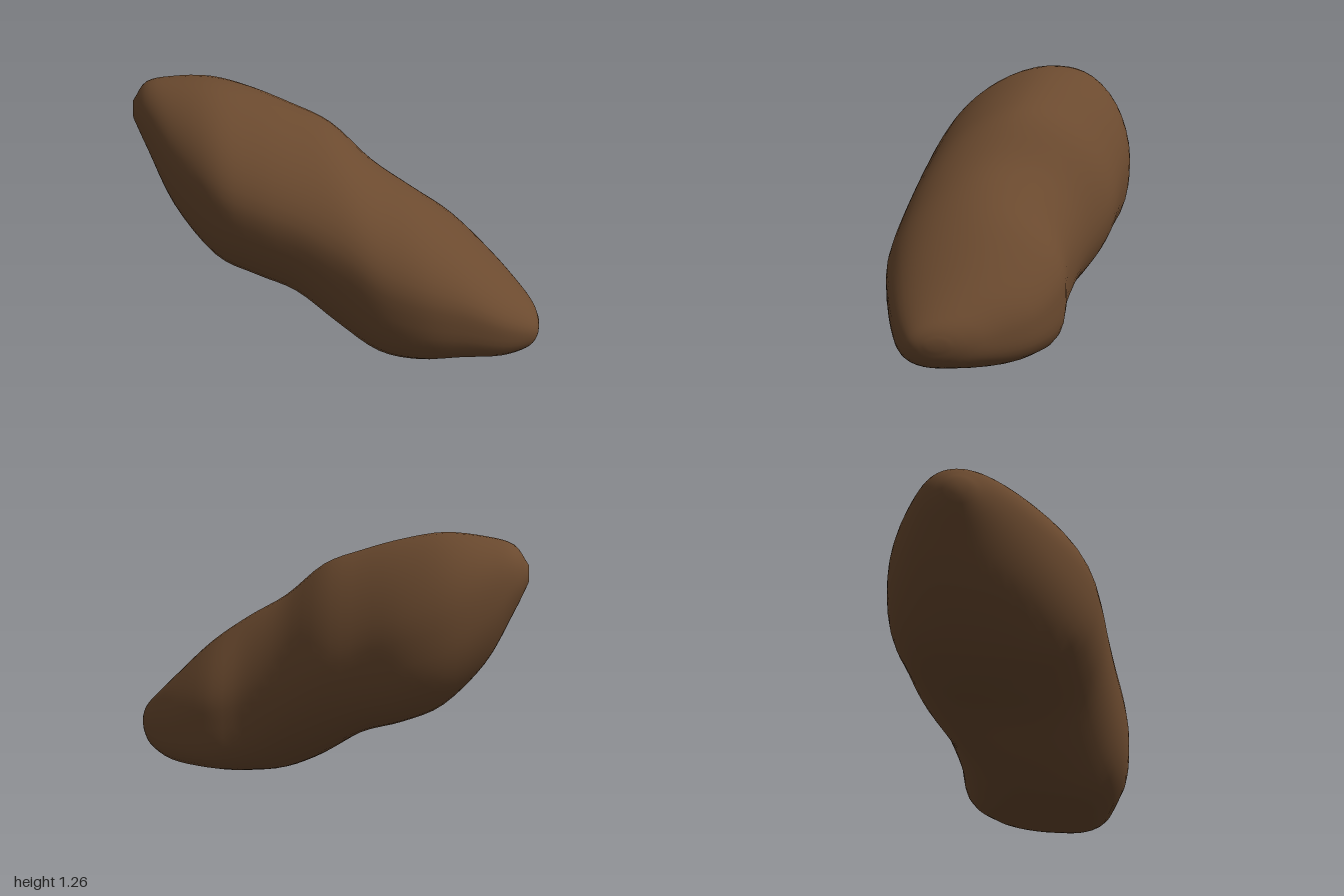
import * as THREE from 'three';

// Stations along x: [x, bottom y, top y, back z, front z,
//   fullness of upper front, upper back, lower back, lower front]
const STATIONS = [
  [-1.0, 1.03, 1.12, -0.40, -0.30, 2, 2, 2, 2],
  [-0.93, 0.88, 1.215, -0.51, -0.14, 1.9, 2.2, 2, 2.1],
  [-0.8, 0.63, 1.25, -0.59, 0.09, 1.8, 2.3, 2.2, 2.4],
  [-0.6, 0.42, 1.265, -0.655, 0.31, 1.75, 2.1, 2.5, 2.6],
  [-0.4, 0.33, 1.23, -0.65, 0.40, 1.7, 1.85, 2.7, 2.5],
  [-0.2, 0.26, 1.17, -0.58, 0.46, 1.7, 1.75, 2.5, 2.5],
  [0.0, 0.12, 1.09, -0.50, 0.53, 1.75, 1.75, 1.9, 2.7],
  [0.2, 0.02, 0.92, -0.345, 0.61, 1.8, 2, 1.9, 3],
  [0.4, 0.005, 0.80, -0.245, 0.65, 1.8, 1.9, 2.9, 3.2],
  [0.6, 0.03, 0.66, -0.19, 0.645, 1.85, 1.85, 4.5, 3.5],
  [0.8, 0.04, 0.47, -0.04, 0.62, 1.9, 1.9, 3.5, 3.3],
  [0.93, 0.075, 0.34, 0.17, 0.58, 2, 2, 2.6, 2.6],
  [0.98, 0.12, 0.28, 0.29, 0.54, 2, 2, 2, 2],
  [1.0, 0.18, 0.23, 0.38, 0.47, 2, 2, 2, 2],
];
const RINGS = 52;
const SIDES = 48;

// Smooth curve through three neighbouring columns of the station list
const columns = (a) => new THREE.CatmullRomCurve3(
  STATIONS.map((s) => new THREE.Vector3(s[a], s[a + 1], s[a + 2])), false, 'catmullrom', 0.5);

// Lumpy body: superelliptic cross-sections joined from end to end
function bodyGeometry() {
  const heights = columns(0);
  const depths = columns(3);
  const fullness = columns(6);
  const positions = [];
  const indices = [];
  for (let i = 0; i <= RINGS; i++) {
    const { x, y: low, z: high } = heights.getPoint(i / RINGS);
    const { x: back, y: front, z: upperFront } = depths.getPoint(i / RINGS);
    const { x: upperBack, y: lowerBack, z: lowerFront } = fullness.getPoint(i / RINGS);
    const halfY = (high - low) / 2;
    const halfZ = (front - back) / 2;
    for (let j = 0; j < SIDES; j++) {
      const angle = (j / SIDES) * Math.PI * 2;
      const c = Math.cos(angle);
      const s = Math.sin(angle);
      const n = s > 0 ? (c > 0 ? upperFront : upperBack) : (c > 0 ? lowerFront : lowerBack);
      const r = (Math.abs(c) ** n + Math.abs(s) ** n) ** (-1 / n);
      // The crest leans slightly towards the back
      const lean = 0.06 * halfZ * Math.max(0, r * s) ** 2;
      positions.push(x, low + halfY * (1 + r * s), back + halfZ * (1 + r * c) - lean);
    }
  }
  for (let i = 0; i < RINGS; i++) {
    for (let j = 0; j < SIDES; j++) {
      const k = (j + 1) % SIDES;
      const a = i * SIDES + j, b = i * SIDES + k;
      const d = a + SIDES, e = b + SIDES;
      indices.push(a, d, b, b, d, e);
    }
  }
  // Close both blunt tips
  for (const end of [0, RINGS]) {
    const s = STATIONS[end === 0 ? 0 : STATIONS.length - 1];
    const pole = positions.length / 3;
    positions.push(s[0], (s[1] + s[2]) / 2, (s[3] + s[4]) / 2);
    for (let j = 0; j < SIDES; j++) {
      const a = end * SIDES + j;
      const b = end * SIDES + ((j + 1) % SIDES);
      if (end === 0) indices.push(pole, a, b);
      else indices.push(pole, b, a);
    }
  }
  const geometry = new THREE.BufferGeometry();
  geometry.setAttribute('position', new THREE.Float32BufferAttribute(positions, 3));
  geometry.setIndex(indices);
  geometry.computeVertexNormals();
  return geometry;
}

export function createModel() {
  const group = new THREE.Group();
  group.name = 'lumpyRock';
  const brown = new THREE.MeshStandardMaterial({ color: 0x6b4a2f });
  brown.name = 'earthBrown';
  const body = new THREE.Mesh(bodyGeometry(), brown);
  body.name = 'rockBody';
  group.add(body);
  return group;
}
